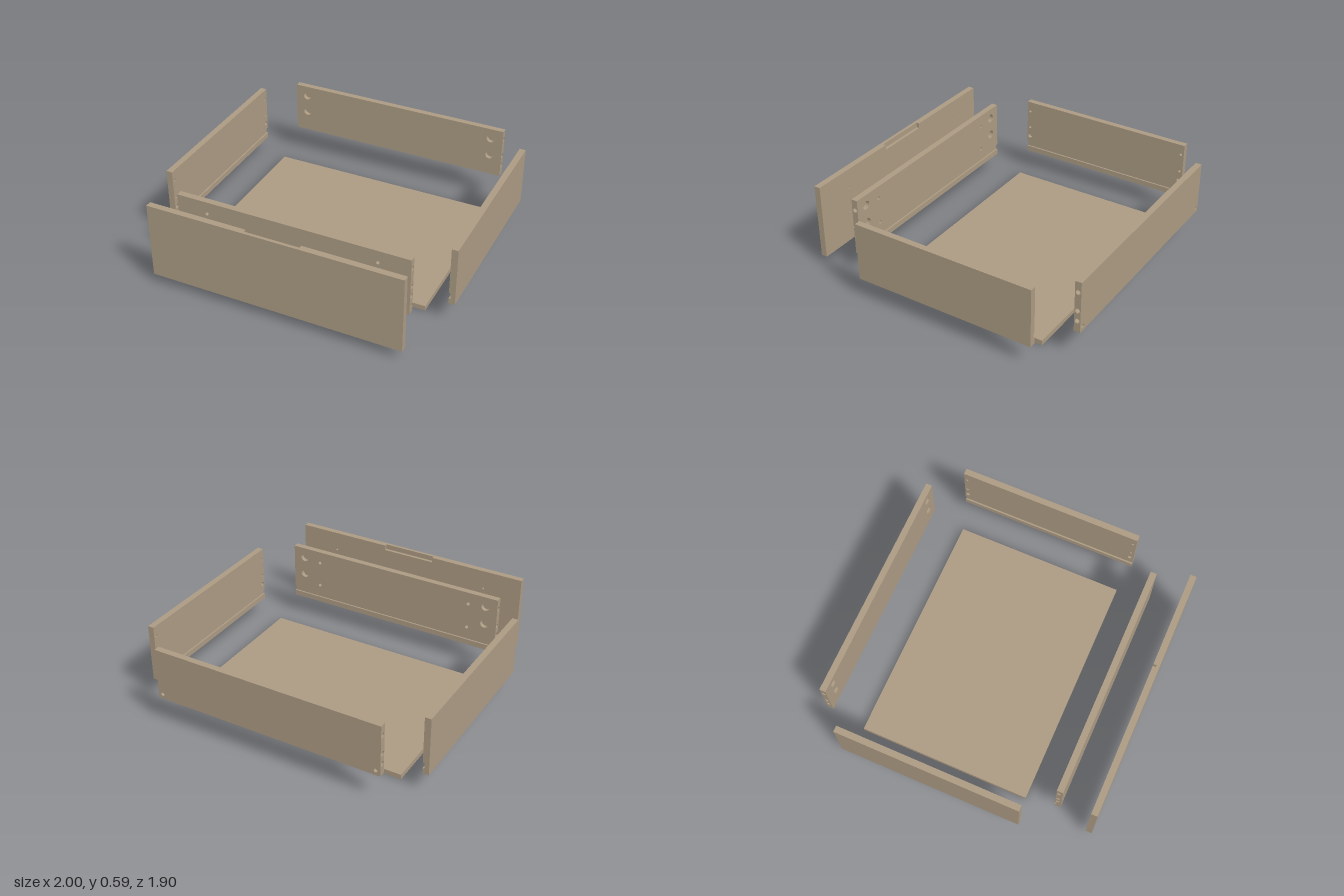
import * as THREE from 'three';
import { mergeGeometries } from 'three/addons/utils/BufferGeometryUtils.js';

const wood = new THREE.MeshStandardMaterial({ color: 0xab9a82 });
wood.name = 'light wood';
const T = 0.042, H = T / 2; // board thickness
const boltYs = [0.467, 0.3375], dowelY = 0.2665;
const vec = (x, y, z) => new THREE.Vector3(x, y, z);

function outline(points, holes) {
  const shape = new THREE.Shape(points.map(([x, y]) => new THREE.Vector2(x, y)));
  for (const [x, y, r] of holes) {
    shape.holes.push(new THREE.Path().absarc(x, y, r, 0, Math.PI * 2, true));
  }
  return shape;
}

// Flat face with drilled holes [u, v, radius, depth, through]; depth 0 only cuts the opening
function face(points, holes, origin, u, v) {
  const parts = [new THREE.ShapeGeometry(outline(points, holes), 12)];
  for (const [x, y, r, depth, through] of holes) {
    if (!depth) continue;
    const wall = new THREE.CylinderGeometry(r, r, depth, 24, 1, true);
    wall.rotateX(Math.PI / 2).scale(-1, 1, 1); // turn the wall inward
    wall.computeVertexNormals();
    parts.push(wall.translate(x, y, -depth / 2));
    if (!through) parts.push(new THREE.CircleGeometry(r, 24).translate(x, y, -depth));
  }
  const basis = new THREE.Matrix4().makeBasis(u, v, u.clone().cross(v)).setPosition(origin);
  return mergeGeometries(parts).applyMatrix4(basis);
}

// Board along x from a (y, z) profile; sideHoles maps profile edge -> holes in (x, y)
function board(name, length, profile, sideHoles = {}, endHoles = []) {
  const L = length / 2;
  const parts = profile.map(([y, z], i) => {
    const [y2, z2] = profile[(i + 1) % profile.length];
    const dir = vec(0, y2 - y, z2 - z), w = dir.length();
    const holes = (sideHoles[i] || []).map(([hx, hy, ...rest]) => [hx, Math.abs(hy - y), ...rest]);
    return face([[-L, 0], [L, 0], [L, w], [-L, w]], holes, vec(0, y, z), vec(1, 0, 0), dir.normalize());
  });
  const swap = ([a, b, ...rest]) => [b, a, ...rest];
  parts.push(face(profile, endHoles, vec(L, 0, 0), vec(0, 1, 0), vec(0, 0, 1)));
  parts.push(face(profile.map(swap), endHoles.map(swap), vec(-L, 0, 0), vec(0, 0, 1), vec(0, 1, 0)));
  const mesh = new THREE.Mesh(mergeGeometries(parts), wood);
  mesh.name = name;
  return mesh;
}

const plain = (y0, y1, h) => [[y0, h], [y1, h], [y1, -h], [y0, -h]];
const grooved = [
  [0.14, H], [0.54, H], [0.54, -H], [0.218, -H],
  [0.218, -H + 0.011], [0.178, -H + 0.011], [0.178, -H], [0.14, -H],
];
const bothEnds = (x, holes) => [-x, x].flatMap((sx) => holes.map((h) => [sx, ...h]));

export function createModel() {
  const group = new THREE.Group();
  group.name = 'drawerParts';

  // Bottom panel
  const bottom = board('bottomPanel', 1.6, plain(0, 0.034, 0.585));
  bottom.position.z = -0.118;
  group.add(bottom);

  // Holes shared by the inner front and the back
  const ends = [...boltYs, dowelY].map((y) => [y, 0, 0.016, 0.05]);
  const cams = bothEnds(0.705, boltYs.map((y) => [y, 0.03, 0.03]));
  const screws = (depth) => bothEnds(0.58, [0.455, 0.275].map((y) => [y, 0.012, depth, true]));

  // Inner front, grooved on its back
  const innerFront = board('innerFront', 1.58, grooved, { 0: screws(0), 2: [...cams, ...screws(T)] }, ends);
  innerFront.position.z = 0.682;
  group.add(innerFront);

  // Back panel with two corner screw holes on the outside
  const back = board('backPanel', 1.58, plain(0.187, 0.54, H),
    { 0: cams, 2: bothEnds(0.76, [[0.22, 0.013, 0.02]]) }, ends);
  back.position.z = -0.927;
  group.add(back);

  // Side panels, grooved and drilled on the inner face
  const L = 1.249;
  const sideHoles = bothEnds(L / 2 - 0.022,
    [...boltYs.map((y) => [y, 0.009, 0.025]), [dowelY, 0.016, 0.025]]);
  for (const s of [1, -1]) {
    const side = board(s > 0 ? 'leftSide' : 'rightSide', L, grooved, { 2: sideHoles });
    side.rotation.y = s * Math.PI / 2;
    side.position.set(s * (1 - H), 0, -0.122);
    group.add(side);
  }

  // Front panel: solid outer layer, inner layer with finger recess and pilot holes
  const y0 = 0.068, y1 = 0.587, notch = 0.185, ny = y1 - 0.035;
  const layers = [
    ['frontPanelOuter', [[-0.85, y0], [0.85, y0], [0.85, y1], [-0.85, y1]], [], 0.927, 0.021],
    ['frontPanelInner', [[-0.85, y0], [0.85, y0], [0.85, y1], [notch, y1], [notch, ny],
      [-notch, ny], [-notch, y1], [-0.85, y1]], bothEnds(0.58, [[0.455, 0.007], [0.275, 0.007]]), 0.906, 0.021],
  ];
  for (const [name, points, holes, z, depth] of layers) {
    const geo = new THREE.ExtrudeGeometry(outline(points, holes), { depth, bevelEnabled: false });
    const mesh = new THREE.Mesh(geo, wood);
    mesh.name = name;
    mesh.position.z = z;
    group.add(mesh);
  }
  return group;
}
